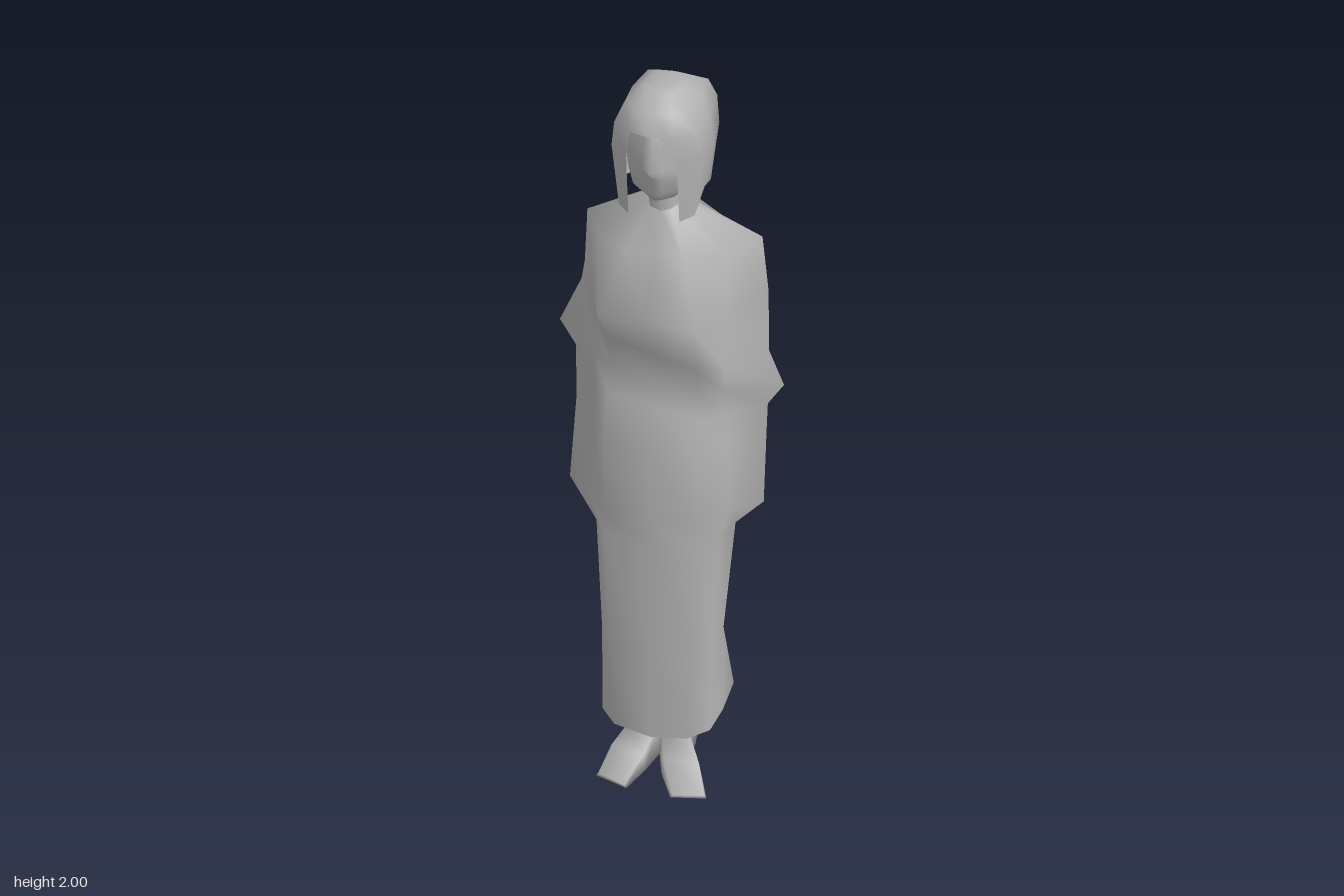
import * as THREE from 'three';

const grey = new THREE.MeshStandardMaterial({ color: 0xb3b3b3, side: THREE.DoubleSide });
grey.name = 'plain grey';

// Skin a list of equal-length closed point rings; skip(level, i) leaves out a quad.
function loft(name, rings, { capStart = false, capEnd = false, skip = () => false } = {}) {
  const n = rings[0].length, index = [];
  const position = rings.flat().flat();
  for (let l = 0; l < rings.length - 1; l++) {
    for (let i = 0; i < n; i++) {
      if (skip(l, i)) continue;
      const a = l * n + i, b = l * n + (i + 1) % n, c = a + n, d = b + n;
      index.push(a, c, d, a, d, b);
    }
  }
  const last = (rings.length - 1) * n;
  for (let i = 1; i < n - 1; i++) {
    if (capStart) index.push(0, i, i + 1);
    if (capEnd) index.push(last, last + i + 1, last + i);
  }
  const geometry = new THREE.BufferGeometry();
  geometry.setAttribute('position', new THREE.Float32BufferAttribute(position, 3));
  geometry.setIndex(index);
  geometry.computeVertexNormals();
  const mesh = new THREE.Mesh(geometry, grey);
  mesh.name = name;
  return mesh;
}

// Mirrored ring through four [x, z, dy] points: front, front side, side, back.
// The centre points bulge by nose and nape; dip lowers them; tilt slopes the ring sideways.
function ring(y, half, { nose = 0, nape = 0, dip = 0, tilt = 0 } = {}) {
  const front = [0, half[0][1] + nose, -dip], back = [0, half[3][1] - nape, -dip];
  const other = half.map(([x, z, dy]) => [-x, z, dy]).reverse();
  return [front, ...half, back, ...other].map(([x, z, dy = 0]) => [x, y + dy + tilt * x, z]);
}

// Long robe with the folded sleeves worked into its sides
function makeRobe() {
  return loft('robe', [
    ring(1.69, [[.025, .012], [.042, -.03], [.045, -.055], [.03, -.09]], { dip: .01 }),
    ring(1.585, [[.07, .056], [.16, 0], [.218, -.1], [.13, -.142]]),
    ring(1.43, [[.12, .122], [.165, .02], [.232, -.115], [.145, -.17]], { nose: -.012 }),
    ring(1.32, [[.115, .076], [.165, .02], [.239, -.11], [.143, -.157]], { tilt: -.25 }),
    ring(1.23, [[.11, .057], [.165, .015], [.287, -.078], [.14, -.141]], { tilt: -.14 }),
    ring(1.165, [[.115, .07], [.168, .015], [.247, -.08], [.14, -.144]], { tilt: -.16 }),
    ring(1.05, [[.12, .095], [.17, .02], [.247, -.075], [.14, -.172]]),
    ring(.845, [[.12, .1], [.18, .03], [.255, -.035], [.14, -.156]], { tilt: .06 }),
    ring(.77, [[.12, .1], [.16, .04], [.182, -.04], [.125, -.145]], { tilt: .03 }),
    ring(.43, [[.11, .1], [.148, .045], [.155, -.04], [.11, -.14]]),
    ring(.15, [[.1, .1], [.148, .05], [.157, -.04], [.154, -.154]], { dip: .02 }),
  ]);
}

// Face and skull with a small nose ridge; each level is [y, half width, face z, nose]
function makeHead() {
  const levels = [
    [1.94, .075, .06, .005], [1.87, .08, .07, .004], [1.825, .078, .074, .026],
    [1.8, .075, .071, .005], [1.755, .065, .062, .01], [1.73, .04, .045, .007],
  ];
  return loft('head', levels.map(([y, w, z, nose]) =>
    ring(y, [[.3 * w, z], [.92 * w, z / 2], [w, -.04], [.65 * w, -.04 - .8 * w]], { nose, nape: .01 }),
  ), { capStart: true, capEnd: true });
}

// Bobbed hair, open around the face below the fringe
function makeHair() {
  return loft('hair', [
    ring(2, [[.03, .02], [.044, -.01], [.045, -.03], [.035, -.075]], { nose: .005, nape: .005 }),
    ring(1.968, [[.045, .066], [.076, .035], [.083, -.04], [.073, -.125]], { nose: .009, nape: .012 }),
    ring(1.92, [[.05, .085], [.098, .05], [.102, -.04], [.09, -.143]], { nose: .013, nape: .01 }),
    ring(1.85, [[.06, .08], [.11, .035], [.112, -.04], [.096, -.142]], { nape: .022 }),
    ring(1.69, [[.062, .062], [.092, .04, .01], [.095, -.03, .05], [.085, -.115, .02]], { nape: .025 }),
  ], { capStart: true, skip: (l, i) => l >= 2 && (i === 0 || i === 9) });
}

// Bare foot from heel to splayed toes; each section is [z, height, inner x, outer x, skew]
function makeFoot(name, side, splay) {
  const sections = [
    [-.085, .1, .005, .075, 0], [.02, .1, 0, .088, 0],
    [.085, .055, .015 + splay / 3, .12 + splay / 3, .007], [.163, .012, .04 + splay, .132 + splay, .012],
  ];
  return loft(name, sections.map(([z, h, inner, outer, skew]) => {
    const half = [[inner + .006, h, z + skew], [outer - .006, h, z - skew], [outer, .003, z - skew], [inner, .003, z + skew]];
    const points = half.map(([x, y, pz]) => [side * x, y, pz]);
    return side > 0 ? points : [points[1], points[0], points[3], points[2]];
  }), { capStart: true, capEnd: true });
}

export function createModel() {
  const model = new THREE.Group();
  model.name = 'robedFigure';
  model.add(makeRobe(), makeHead(), makeHair());

  // Neck
  const neck = new THREE.Mesh(new THREE.CylinderGeometry(.038, .041, .14, 8), grey);
  neck.name = 'neck';
  neck.position.set(0, 1.715, -.04);
  neck.scale.z = 1.25;
  model.add(neck);

  // Feet, the left one turned further outward
  model.add(makeFoot('leftFoot', 1, .038), makeFoot('rightFoot', -1, .003));

  // Lower legs, reaching up inside the robe
  for (const side of [1, -1]) {
    const leg = new THREE.Mesh(new THREE.CylinderGeometry(.036, .042, .2, 6), grey);
    leg.name = side > 0 ? 'leftLeg' : 'rightLeg';
    leg.position.set(side * .042, .17, -.032);
    leg.scale.z = 1.25;
    model.add(leg);
  }
  return model;
}
